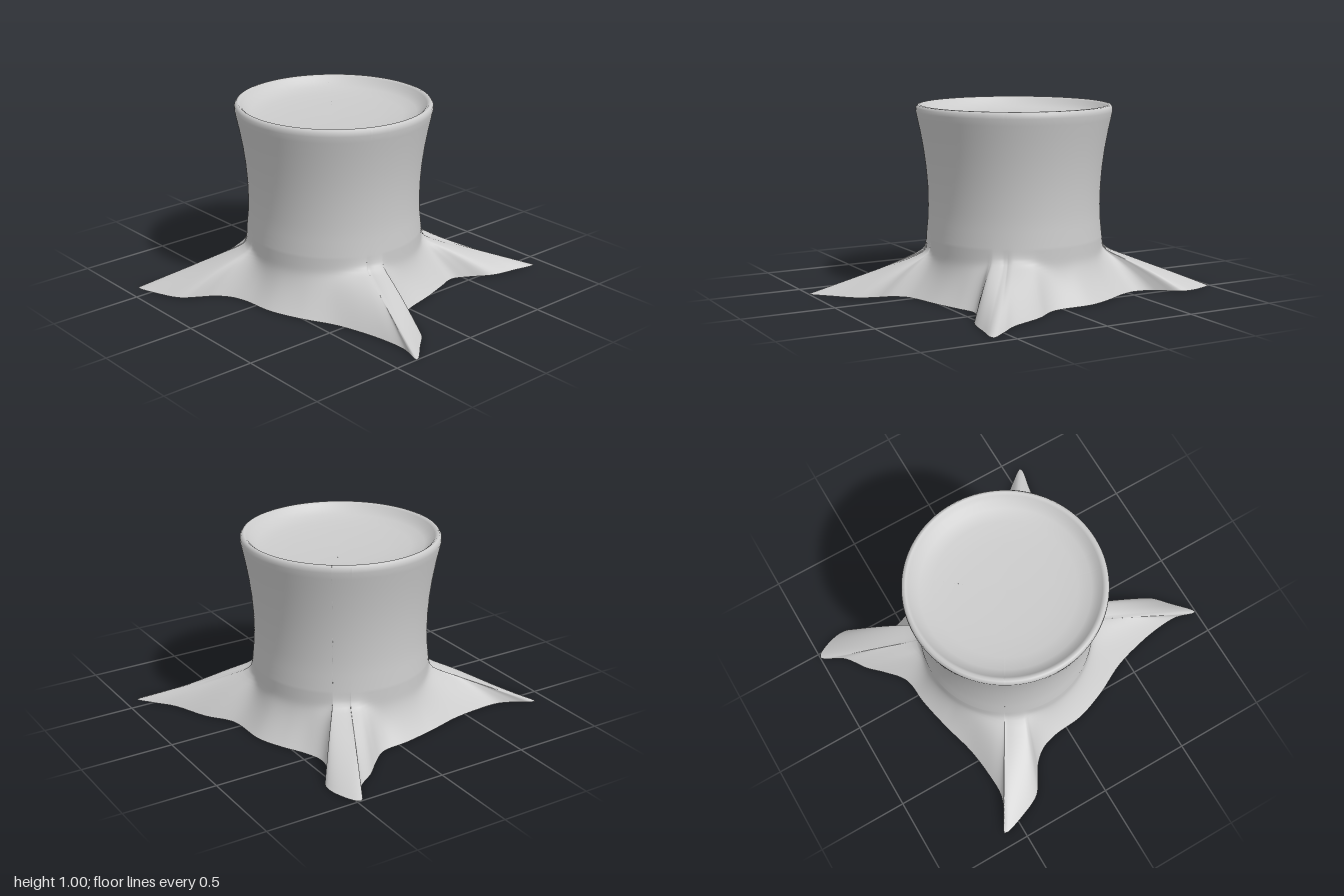
import * as THREE from 'three';

const CX = -0.05; // trunk axis
const COLUMNS = 280;

// Ground outline of the flared base with its four roots (x, z)
const OUTLINE = [
  [1, 0.37], [0.88, 0.34], [0.76, 0.345], [0.62, 0.37], [0.45, 0.42], [0.27, 0.51], [0.1, 0.57],
  [-0.08, 0.59], [-0.17, 0.62], [-0.24, 0.68], [-0.29, 0.76], [-0.34, 0.83], [-0.45, 0.885],
  [-0.6, 0.925], [-0.55, 0.83], [-0.51, 0.73], [-0.51, 0.6], [-0.53, 0.43], [-0.58, 0.24],
  [-0.62, 0.05], [-0.64, -0.11], [-0.72, -0.21], [-0.8, -0.29], [-0.88, -0.4],
  [-1, -0.48], [-0.9, -0.54], [-0.79, -0.55], [-0.7, -0.49], [-0.64, -0.45], [-0.55, -0.43],
  [-0.45, -0.46], [-0.32, -0.53], [-0.18, -0.585], [0.06, -0.605], [0.2, -0.7], [0.4, -0.79],
  [0.5, -0.87], [0.59, -0.93], [0.57, -0.79], [0.54, -0.65], [0.47, -0.53], [0.43, -0.44],
  [0.465, -0.32], [0.51, -0.18], [0.55, -0.02], [0.58, 0.05], [0.65, 0.1], [0.73, 0.12],
  [0.82, 0.165], [0.9, 0.25],
];

// Trunk, rounded rim and hollowed top (radius, height)
const TRUNK = [
  [0.475, 0.3], [0.467, 0.38], [0.464, 0.46], [0.466, 0.56], [0.474, 0.66], [0.487, 0.76],
  [0.505, 0.86], [0.52, 0.93], [0.527, 0.965], [0.526, 0.985], [0.517, 0.998], [0.505, 1],
  [0.492, 0.99], [0.475, 0.968], [0.44, 0.945], [0.37, 0.93], [0.25, 0.922], [0.12, 0.918], [0, 0.917],
];

const BASE_RINGS = 18;
const BASE_TOP = 0.3;

// Radius of the base: t = 0 at the trunk, 1 on the ground; far columns form rounded roots
function baseRadius(t, reach) {
  const k = THREE.MathUtils.clamp((reach - 0.58) / 0.52, 0, 1);
  const hinge = (t - 0.3 + Math.sqrt((t - 0.3) ** 2 + 0.004)) / (0.7 + Math.sqrt(0.494));
  const power = 1 + 0.8 * Math.exp(-12 * k) - 1.2 * k * (1 - k);
  const start = hinge0 ** power;
  return 0.475 + (reach - 0.475) * (hinge ** power - start) / (1 - start);
}
const hinge0 = (-0.3 + Math.sqrt(0.094)) / (0.7 + Math.sqrt(0.494));

function stumpGeometry() {
  const curve = new THREE.CatmullRomCurve3(
    OUTLINE.map(([x, z]) => new THREE.Vector3(x, 0, z)), true, 'centripetal');
  curve.arcLengthDivisions = 1000;
  const columns = curve.getSpacedPoints(COLUMNS).slice(0, COLUMNS).map((p) => ({
    angle: Math.atan2(p.z, p.x - CX),
    reach: Math.hypot(p.x - CX, p.z),
  }));

  const positions = [];
  const addRing = (y, radiusOf) => columns.forEach(({ angle, reach }) => {
    const r = radiusOf(reach);
    positions.push(CX + r * Math.cos(angle), y, r * Math.sin(angle));
  });
  for (let j = 0; j < BASE_RINGS; j++) {
    const t = 1 - j / BASE_RINGS;
    addRing(BASE_TOP * (1 - t), (reach) => baseRadius(t, reach));
  }
  TRUNK.forEach(([r, y]) => addRing(y, () => r));

  const index = [];
  const rings = BASE_RINGS + TRUNK.length;
  for (let j = 0; j < rings - 1; j++) {
    for (let i = 0; i < COLUMNS; i++) {
      const a = j * COLUMNS + i;
      const b = j * COLUMNS + (i + 1) % COLUMNS;
      index.push(b, a, a + COLUMNS);
      if (j < rings - 2) index.push(b, a + COLUMNS, b + COLUMNS);
    }
  }
  const geometry = new THREE.BufferGeometry();
  geometry.setAttribute('position', new THREE.Float32BufferAttribute(positions, 3));
  geometry.setIndex(index);
  geometry.computeVertexNormals();
  return geometry;
}

export function createModel() {
  const group = new THREE.Group();
  group.name = 'treeStump';
  // Open underneath, so both sides show
  const material = new THREE.MeshStandardMaterial({ color: 0xcccccc, side: THREE.DoubleSide });
  const stump = new THREE.Mesh(stumpGeometry(), material);
  stump.name = 'trunkWithRoots';
  group.add(stump);
  return group;
}
